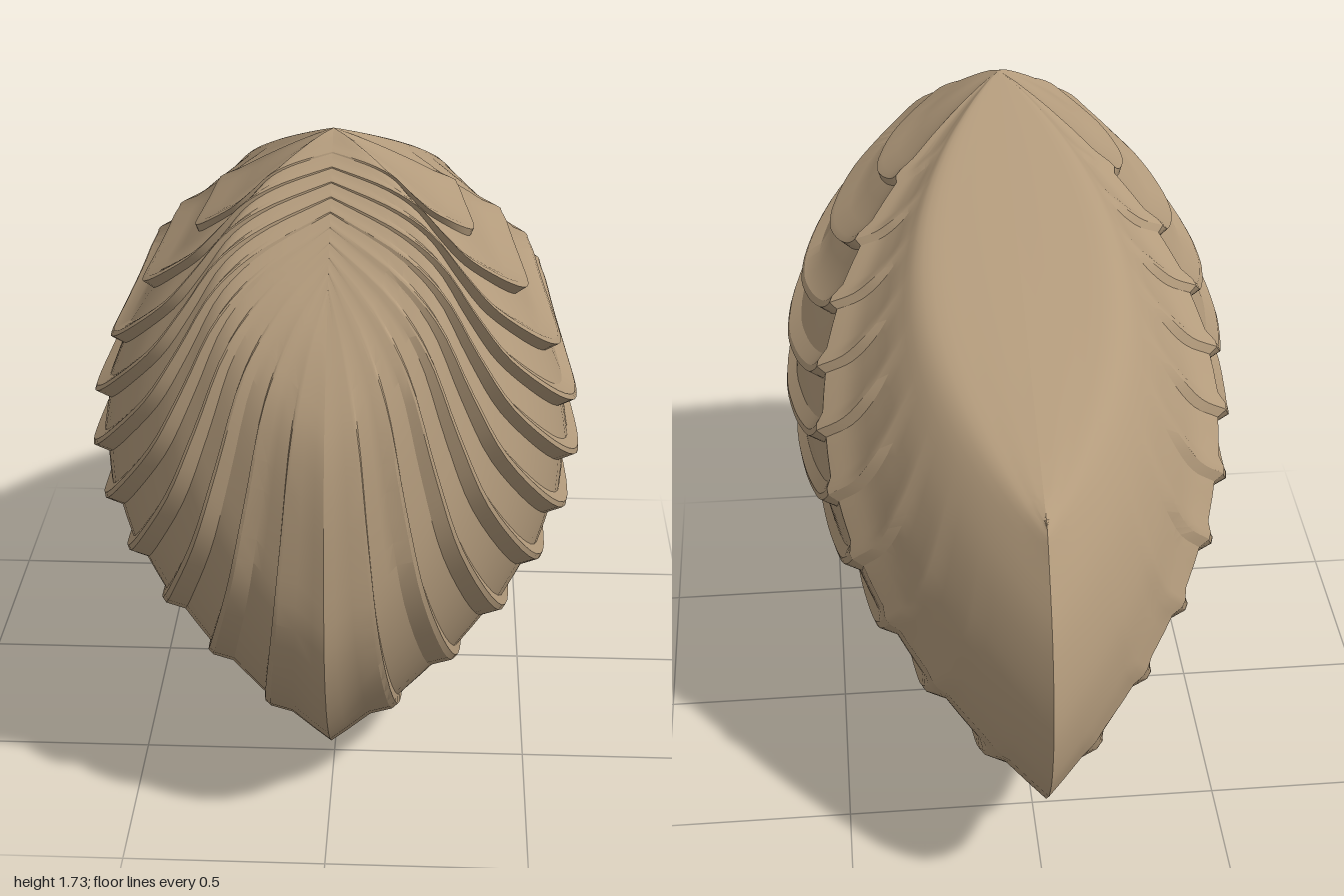
import * as THREE from 'three';
import { toCreasedNormals } from 'three/addons/utils/BufferGeometryUtils.js';

const { clamp, lerp, smoothstep } = THREE.MathUtils;
const V = (w, y, z) => new THREE.Vector3(w, y, z);
const BEAK = { y: 1.73, z: 0.5 };
const RINGS = 10, FIRST = 0.06, STEP = 0.088;

// Shell margin from front to back: (relative fullness, y, z)
const flank = [
  V(0, 1.41, 0.78), V(0.28, 1.24, 0.9), V(0.43, 1.08, 0.97), V(0.56, 0.8, 1), V(0.68, 0.55, 0.985),
  V(0.84, 0.3, 0.85), V(0.96, 0.1, 0.6), V(1, 0, 0.23), V(0.97, 0.06, -0.2), V(0.92, 0.2, -0.6),
  V(0.89, 0.32, -0.82), V(0.88, 0.41, -0.91),
];
const rear = [
  V(0.88, 0.41, -0.91), V(0.76, 0.52, -0.97), V(0.65, 0.7, -1), V(0.54, 0.93, -0.95),
  V(0.42, 1.12, -0.84), V(0.22, 1.16, -0.808), V(0, 1.17, -0.8),
];

// Ridge strength along each section; ridges are faint in front and end behind the keel
const keelRidge = s => 0.7 * (1 - Math.pow(s, 4));
const flankRidge = (t, s) => lerp(lerp(0.35, 1, smoothstep(t, 0, 0.4)), keelRidge(s), smoothstep(t, 0.88, 1));
const rearRidge = (t, s) => keelRidge(s) * (1 - smoothstep(t, 0.25, 0.55)) * (1 - smoothstep(s, 0.6, 0.95) * Math.min(1, t * 6));

const section = (points, count, ridge) =>
  new THREE.CatmullRomCurve3(points).getPoints(count).map((p, i) => ({ p, ridge: s => ridge(i / count, s) }));
const sections = {
  ribbedFlank: section(flank, 40, flankRidge),
  smoothRear: section(rear, 24, rearRidge),
};

// Growth stages: nearly plain, then a shelf out to a lip and a sharp drop
const stages = [0, 0.02, 0.04, FIRST].map(s => ({ s, lift: 0 }));
for (let k = 0; k < RINGS; k++) {
  const s = FIRST + k * STEP;
  for (const [u, lift] of [[0.35, 0.06], [0.72, 0.2], [0.9, 0.95], [1, 1]]) stages.push({ s: s + u * STEP, lift });
  stages.push({ s: s + STEP + 0.01, lift: 0 });
}
stages.push({ s: 0.98, lift: 0 }, { s: 1, lift: 0 });

const bulge = s => 0.58 * Math.pow(s, 0.94) * (1 - s) / 0.261;

function shellPoint({ s, lift }, { p, ridge }, side) {
  const front = clamp((p.z - 0.6) / 0.4, 0, 1);
  const fullness = Math.max(0, p.x);
  const lip = 0.038 * lift * ridge(s) * Math.min(1, s * 4);
  // Slight forward swelling below the beak
  const swell = 0.07 * Math.sqrt(s) * (1 - s) * front;
  return [
    side * (fullness * bulge(s) + lip * Math.sqrt(fullness)),
    BEAK.y + s * (p.y - BEAK.y) + swell * 0.5,
    BEAK.z + s * (p.z - BEAK.z) + swell + lip * front * 0.6 * (1 - s * s),
  ];
}

// Surface swept through all growth stages of one section
function sweep(columns, side) {
  const out = [];
  const tri = (a, b, c) => out.push(...a, ...(side > 0 ? b : c), ...(side > 0 ? c : b));
  for (let i = 0; i < stages.length - 1; i++) {
    for (let j = 0; j < columns.length - 1; j++) {
      const a = shellPoint(stages[i], columns[j], side);
      const b = shellPoint(stages[i + 1], columns[j], side);
      const c = shellPoint(stages[i + 1], columns[j + 1], side);
      const d = shellPoint(stages[i], columns[j + 1], side);
      tri(a, b, c);
      if (i > 0) tri(a, c, d);
    }
  }
  const g = new THREE.BufferGeometry();
  g.setAttribute('position', new THREE.Float32BufferAttribute(out, 3));
  return toCreasedNormals(g, 0.45);
}

export function createModel() {
  const shell = new THREE.Group();
  shell.name = 'clamShell';
  const material = new THREE.MeshStandardMaterial({ color: 0xb39b7c, side: THREE.DoubleSide });
  // Two mirrored valves
  for (const side of [1, -1]) {
    const valve = new THREE.Group();
    valve.name = side > 0 ? 'leftValve' : 'rightValve';
    for (const [name, columns] of Object.entries(sections)) {
      const mesh = new THREE.Mesh(sweep(columns, side), material);
      mesh.name = name;
      valve.add(mesh);
    }
    shell.add(valve);
  }
  return shell;
}
